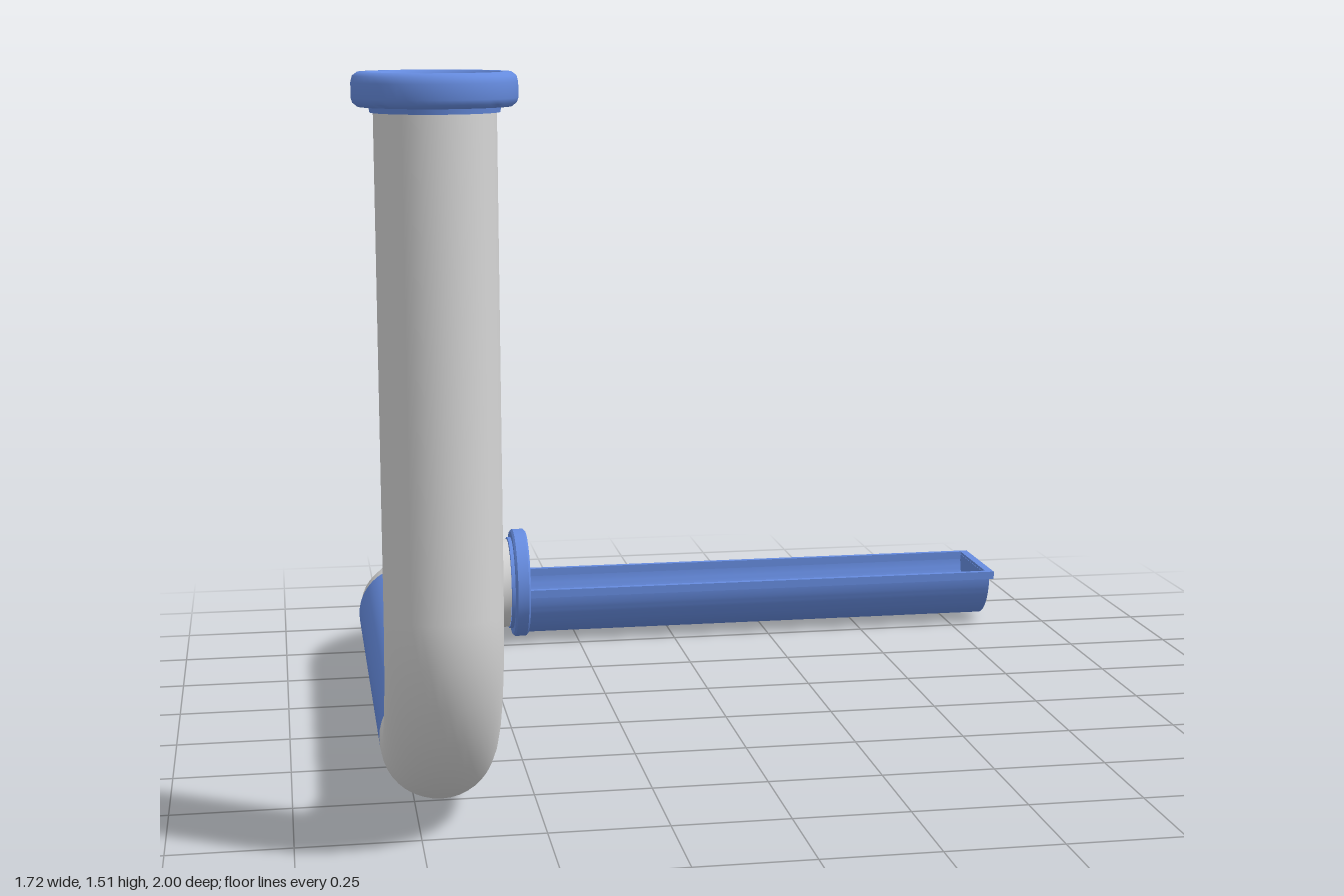
import * as THREE from 'three';
import { toCreasedNormals } from 'three/addons/utils/BufferGeometryUtils.js';

const R = 0.115;            // pipe radius
const PX = -0.705;          // x of the upright and the long pipe
const PY = 0.145;           // height of the level axis
const PZ = 0.845;           // z of the upright
const TZ = -0.86;           // z of the trough axis

export function createModel() {
  const group = new THREE.Group();
  const grey = new THREE.MeshStandardMaterial({ color: 0xd6d6d6, side: THREE.DoubleSide });
  grey.name = 'light grey';
  const blue = new THREE.MeshStandardMaterial({ color: 0x668ce0, side: THREE.DoubleSide });
  blue.name = 'blue';

  const add = (name, geometry, material, x, y, z) => {
    const mesh = new THREE.Mesh(geometry, material);
    mesh.name = name;
    mesh.position.set(x, y, z);
    group.add(mesh);
    return mesh;
  };
  const pipe = (length) => new THREE.CylinderGeometry(R, R, length, 40, 1, true);
  // quarter bend sweeping from direction a to direction b around its centre
  const elbow = (name, bend, a, b, x, y, z) => {
    const geometry = new THREE.TorusGeometry(bend, R, 40, 8, Math.PI / 2);
    const c = new THREE.Vector3().crossVectors(a, b);
    geometry.applyMatrix4(new THREE.Matrix4().makeBasis(a, b, c));
    return add(name, geometry, grey, x, y, z);
  };
  // closed ring turned from a profile of [radius, height] points
  const ring = (points) => {
    const profile = points.map(([r, h]) => new THREE.Vector2(r, h));
    return toCreasedNormals(new THREE.LatheGeometry([...profile, profile[0].clone()], 48), 0.7);
  };

  // upright pipe and its bend
  add('uprightPipe', pipe(0.97), grey, PX, 0.975, PZ);
  elbow('lowerElbow', 0.345, new THREE.Vector3(0, 0, 1), new THREE.Vector3(0, -1, 0), PX, 0.49, 0.5);

  // inlet collar on top of the upright
  add('inletCollar', ring([
    [0.115, 0], [0.121, 0], [0.123, 0.01], [0.143, 0.011], [0.152, 0.018], [0.155, 0.027],
    [0.155, 0.056], [0.152, 0.068], [0.143, 0.075], [0.126, 0.075], [0.119, 0.068], [0.115, 0.055],
  ]), blue, PX, 1.445, PZ);

  // long level pipe
  add('levelPipe', pipe(1.085), blue, PX, PY, -0.0425).rotation.x = Math.PI / 2;

  // second bend, turning towards the trough
  elbow('outletElbow', 0.28, new THREE.Vector3(-1, 0, 0), new THREE.Vector3(0, 0, -1), -0.425, PY, -0.58);

  // collar between the bend and the trough
  add('outletCollar', ring([
    [0.115, 0], [0.119, 0], [0.119, 0.009], [0.135, 0.009], [0.14, 0.014],
    [0.14, 0.042], [0.135, 0.047], [0.121, 0.047], [0.115, 0.042],
  ]), blue, -0.424, PY, TZ).rotation.z = -Math.PI / 2;

  // half-round trough
  const halfRound = new THREE.Shape();
  halfRound.absarc(0, 0, 0.13, Math.PI, 2 * Math.PI, false);
  halfRound.absarc(0, 0, 0.121, 2 * Math.PI, Math.PI, true);
  halfRound.closePath();
  const extrude = (shape, depth) => toCreasedNormals(
    new THREE.ExtrudeGeometry(shape, { depth, bevelEnabled: false, curveSegments: 24 })
      .rotateY(Math.PI / 2), 0.6);
  add('trough', extrude(halfRound, 1.225), blue, -0.38, PY, TZ);

  // closed end of the trough
  const endShape = new THREE.Shape();
  endShape.absarc(0, 0, 0.13, Math.PI, 2 * Math.PI, false);
  endShape.closePath();
  add('troughEnd', extrude(endShape, 0.01), blue, 0.836, PY, TZ);

  // flat rim along both sides and across the end
  for (const s of [-1, 1]) {
    add(s > 0 ? 'frontRim' : 'backRim', new THREE.BoxGeometry(1.235, 0.02, 0.015),
      blue, 0.2395, 0.142, TZ + s * 0.1265);
  }
  add('endRim', new THREE.BoxGeometry(0.02, 0.02, 0.268), blue, 0.847, 0.142, TZ);

  return group;
}
